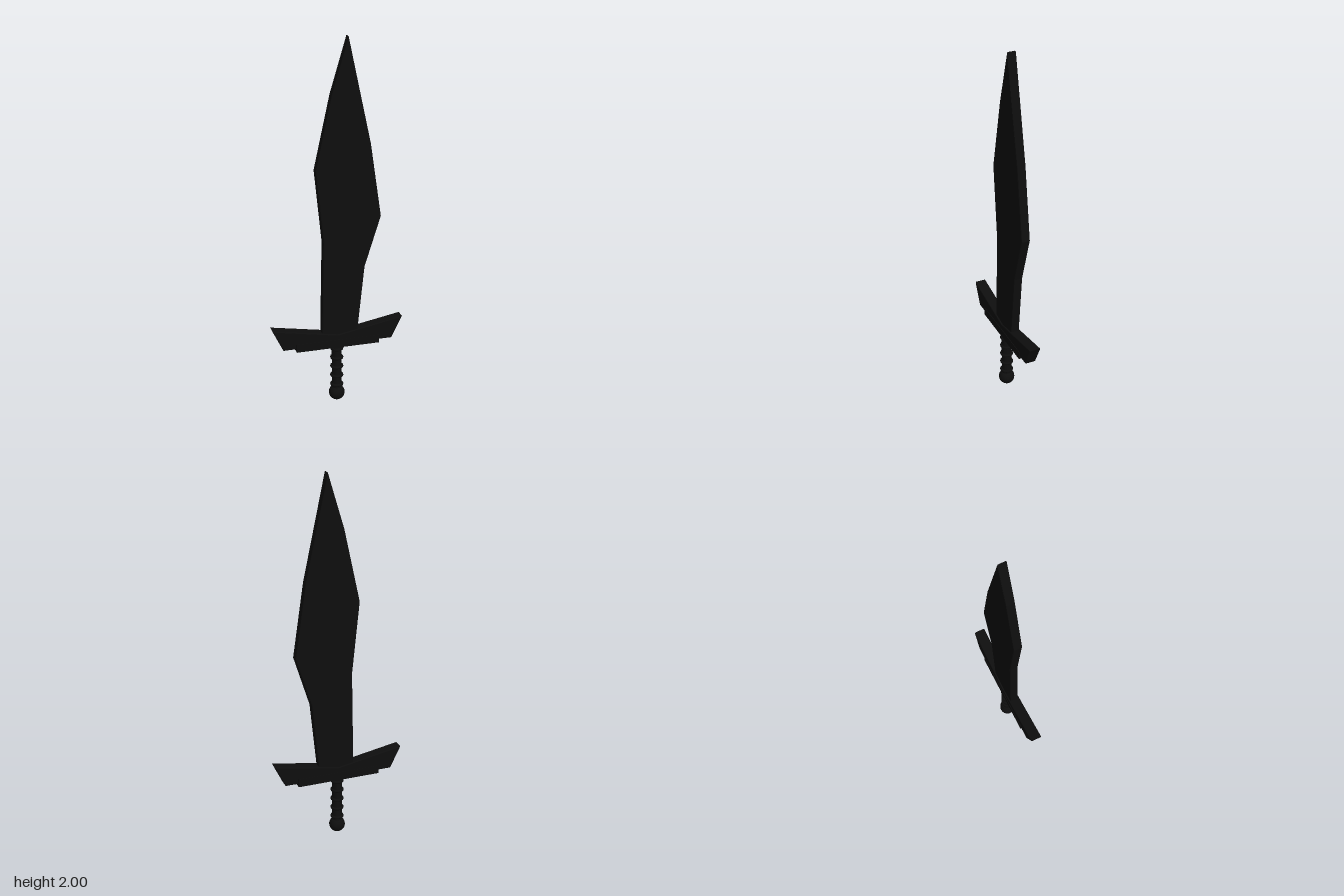
import * as THREE from 'three';

// Outline in the xy plane, extruded about z = 0 with a small chamfer inside the outline
function slab(points, depth, bevel) {
  const shape = new THREE.Shape(points.map(([x, y]) => new THREE.Vector2(x, y)));
  const geometry = new THREE.ExtrudeGeometry(shape, {
    depth: depth - 2 * bevel,
    bevelEnabled: true,
    bevelThickness: bevel,
    bevelSize: bevel,
    bevelOffset: -bevel,
    bevelSegments: 2,
  });
  return geometry.translate(0, 0, bevel - depth / 2);
}

export function createModel() {
  const model = new THREE.Group();
  model.name = 'sword';
  const blackMetal = new THREE.MeshStandardMaterial({ color: 0x0e0e0e });
  blackMetal.name = 'black metal';

  const add = (name, geometry, y = 0) => {
    const mesh = new THREE.Mesh(geometry, blackMetal);
    mesh.name = name;
    mesh.position.y = y;
    model.add(mesh);
    return mesh;
  };

  // Asymmetric leaf-shaped blade
  add('blade', slab([
    [-0.087, 0.385], [0.107, 0.385], [0.147, 0.775], [0.233, 1.05], [0.175, 1.445],
    [0.055, 2.0], [-0.032, 1.71], [-0.117, 1.32], [-0.077, 0.93],
  ], 0.046, 0.005));

  // Crossguard with upswept ends
  add('crossguard', slab([
    [-0.30, 0.344], [0.30, 0.344], [0.358, 0.464], [0, 0.4], [-0.358, 0.464],
  ], 0.06, 0.005));

  // Collar plate under the crossguard
  add('guardPlate', new THREE.BoxGeometry(0.458, 0.045, 0.066), 0.349);

  // Grip with evenly spaced rings
  add('grip', new THREE.CylinderGeometry(0.027, 0.027, 0.28, 32), 0.2);
  for (let i = 0; i < 5; i++) {
    const ring = new THREE.TorusGeometry(0.028, 0.008, 10, 32).rotateX(Math.PI / 2);
    add('gripRing', ring, 0.094 + i * 0.054);
  }

  // Round pommel
  add('pommel', new THREE.SphereGeometry(0.043, 32, 20), 0.043);

  return model;
}
